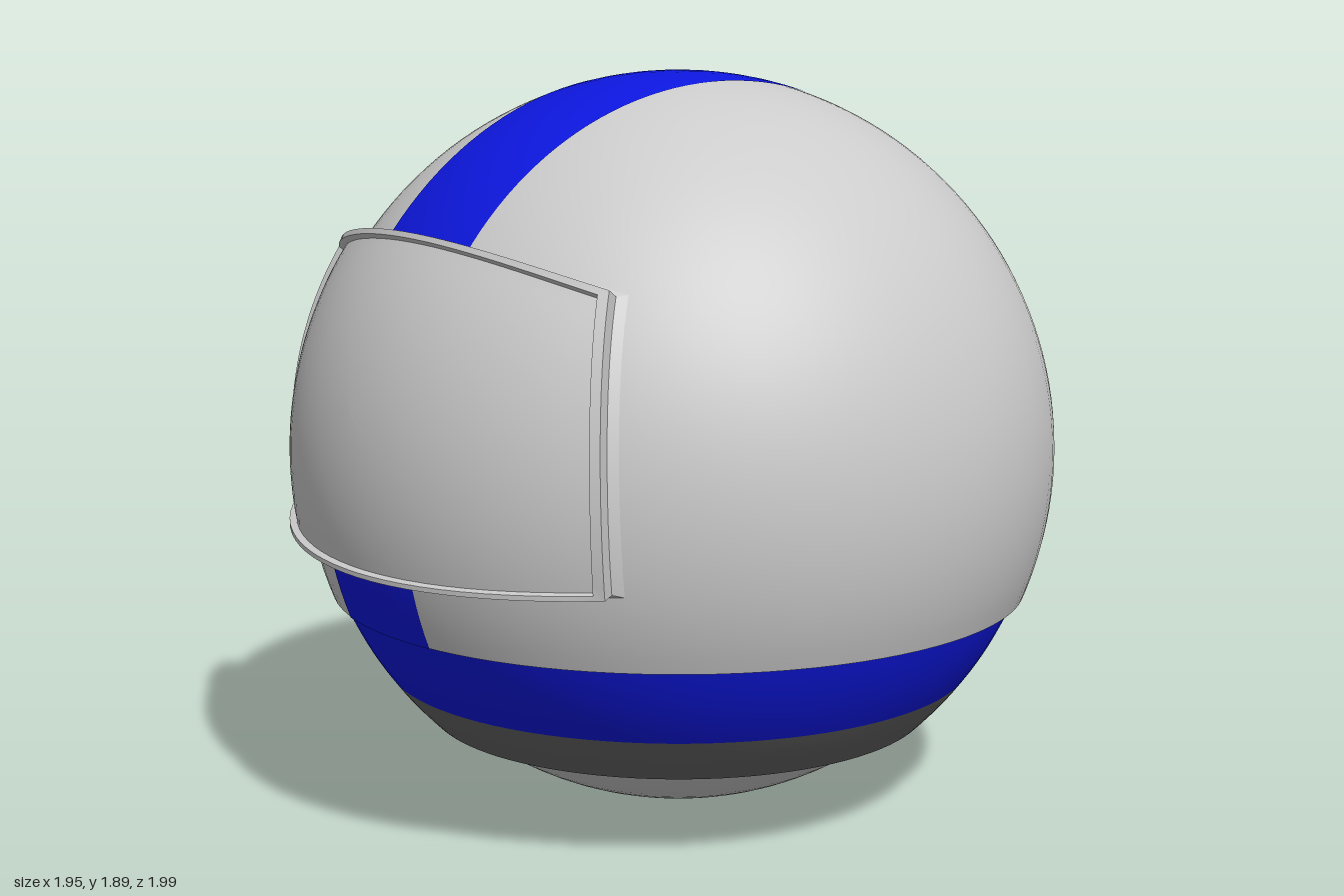
import * as THREE from 'three';
import { toCreasedNormals } from 'three/addons/utils/BufferGeometryUtils.js';

const CY = 0.915, CZ = -0.02;      // centre of the ball
const YAW = -0.297;                // visor and stripe are turned to the right
const R = 0.975;                   // main shell radius
const BAND_R = 0.956, INNER_R = 0.915;
const SHELL_Y = 0.555, BAND_Y = 0.345, COLLAR_Y = 0.22;

const grey = new THREE.MeshStandardMaterial({ color: 0xcccccc });
const darkGrey = new THREE.MeshStandardMaterial({ color: 0x666666 });
const blue = new THREE.MeshStandardMaterial({ color: 0x0d17e0 });

function add(parent, name, geometry, material) {
  const mesh = new THREE.Mesh(geometry, material);
  mesh.name = name;
  parent.add(mesh);
  return mesh;
}

// Profile points of a sphere of radius r between two heights
function arc(r, y0, y1, n) {
  const a0 = Math.asin(Math.max(-1, (y0 - CY) / r));
  const a1 = Math.asin(Math.min(1, (y1 - CY) / r));
  return Array.from({ length: n + 1 }, (_, i) => {
    const a = a0 + (a1 - a0) * i / n;
    return new THREE.Vector2(Math.max(0, r * Math.cos(a)), r * Math.sin(a));
  });
}

function lathe(points) {
  return toCreasedNormals(new THREE.LatheGeometry(points, 96), 0.6);
}

// Surface from a rule giving the point at row i, column j
function grid(rows, cols, rule) {
  const pos = [], index = [];
  for (let i = 0; i <= rows; i++)
    for (let j = 0; j <= cols; j++) pos.push(...rule(i, j).toArray());
  for (let i = 0; i < rows; i++)
    for (let j = 0; j < cols; j++) {
      const a = i * (cols + 1) + j, b = a + cols + 1;
      index.push(a, b, a + 1, b, b + 1, a + 1);
    }
  const g = new THREE.BufferGeometry();
  g.setAttribute('position', new THREE.Float32BufferAttribute(pos, 3));
  g.setIndex(index);
  g.computeVertexNormals();
  return g;
}

// Stripe lying on the shell, running from the back rim to the chin
function stripeGeometry() {
  const rows = 96, cols = 8, r = R + 0.002;
  return grid(rows, cols, (i, j) => {
    const t = 2 * i / rows - 1, k = 2 * j / cols - 1;
    const u = k * (0.19 - 0.012 * Math.sin(2 * t * 1.95) ** 2);
    const rho = Math.sqrt(r * r - u * u);
    const phi = t * Math.acos((SHELL_Y - CY) / rho);
    return new THREE.Vector3(u, rho * Math.cos(phi), rho * Math.sin(phi));
  });
}

// Outline of the visor seen from its own front
function visorOutline() {
  const s = new THREE.Shape();
  s.moveTo(-0.69, 0.755);
  s.quadraticCurveTo(0, 0.695, 0.69, 0.755);
  s.quadraticCurveTo(0.72, 1.1, 0.59, 1.44);
  s.quadraticCurveTo(0, 1.62, -0.59, 1.44);
  s.quadraticCurveTo(-0.72, 1.1, -0.69, 0.755);
  return s.getPoints(24);
}

function createVisor(parent) {
  const outline = visorOutline(), cols = outline.length - 1, midY = 1.12;
  // Outline scaled about its middle, wrapped on to a sphere of radius r
  const wrap = (j, scale, r) => {
    const u = outline[j].x * scale;
    const v = midY - CY + (outline[j].y - midY) * scale;
    return new THREE.Vector3(u, v, Math.sqrt(1.02 ** 2 - u * u - v * v)).setLength(r);
  };
  const lensRows = 16;
  add(parent, 'visorLens', grid(lensRows, cols,
    (i, j) => wrap(j, 0.97 * i / lensRows, 1.008)), grey);
  // Frame section from the lens edge outwards: step, rim, wall, skirt
  const section = [[0.968, 1.006], [0.972, 1.026], [1, 1.028], [1.008, 0.985], [1.04, 0.973]];
  add(parent, 'visorFrame', toCreasedNormals(grid(section.length - 1, cols,
    (i, j) => wrap(j, ...section[i])), 0.6), grey);
}

export function createModel() {
  const model = new THREE.Group();
  model.name = 'helmet';
  const body = new THREE.Group();
  body.name = 'body';
  body.position.set(0, CY, CZ);
  model.add(body);

  // Main shell with the small ledge at its lower rim
  const shell = arc(R, SHELL_Y, CY + R, 48);
  shell.unshift(new THREE.Vector2(shell[0].x - 0.04, shell[0].y));
  add(body, 'shell', lathe(shell), grey);

  // Blue band and dark collar
  add(body, 'lowerBand', lathe(arc(BAND_R, BAND_Y, SHELL_Y, 8)), blue);
  const collar = arc(BAND_R, COLLAR_Y, BAND_Y, 6);
  collar.unshift(new THREE.Vector2(0.58, collar[0].y));
  add(body, 'collar', lathe(collar), darkGrey);

  // Rounded base inside the collar
  add(body, 'base', lathe(arc(INNER_R, CY - INNER_R, COLLAR_Y + 0.02, 16)), grey);

  // Turned parts
  const turned = new THREE.Group();
  turned.name = 'visorAndStripe';
  turned.rotation.y = YAW;
  body.add(turned);
  add(turned, 'stripe', stripeGeometry(), blue);
  createVisor(turned);

  return model;
}
